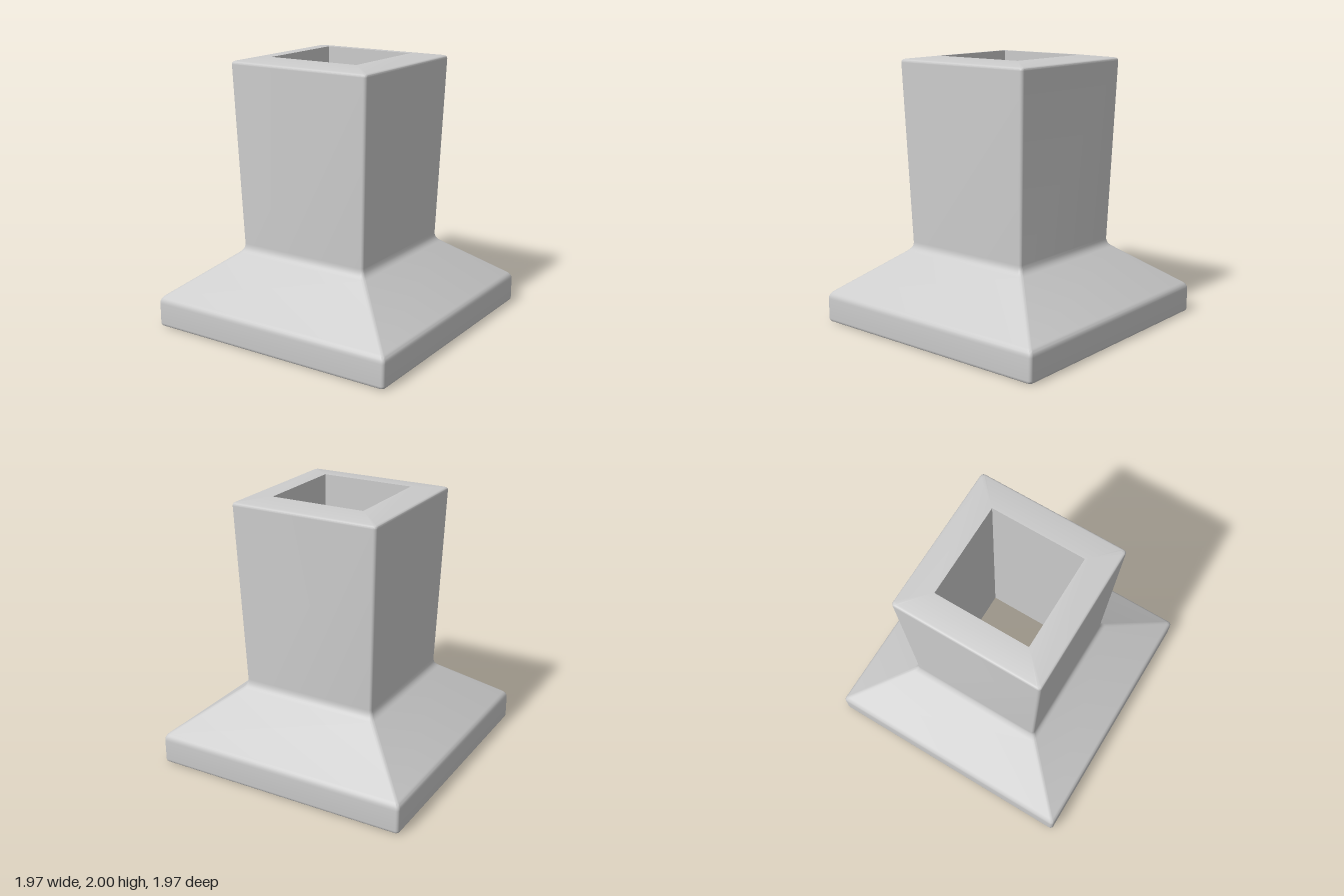
import * as THREE from 'three';
import { toCreasedNormals } from 'three/addons/utils/BufferGeometryUtils.js';

const ARC = 6; // segments per rounded corner

// Rounds each corner of a closed profile; points are [half width, height, fillet, plan corner radius]
function filletProfile(points) {
  const out = [];
  points.forEach(([x, y, fillet, corner], i) => {
    const p = new THREE.Vector2(x, y);
    if (!fillet) {
      out.push([x, y, corner]);
      return;
    }
    const prev = points.at(i - 1), next = points[(i + 1) % points.length];
    const toward = (q) => new THREE.Vector2(q[0], q[1]).sub(p).setLength(fillet).add(p);
    const curve = new THREE.QuadraticBezierCurve(toward(prev), p, toward(next));
    for (const q of curve.getPoints(ARC)) out.push([q.x, q.y, corner]);
  });
  return out;
}

// Square ring with rounded corners, counter-clockwise seen from above
function squareRing([half, y, r]) {
  const ring = [];
  for (let c = 0; c < 4; c++) {
    const mid = Math.PI / 4 + c * Math.PI / 2;
    const cx = Math.sign(Math.cos(mid)) * (half - r);
    const cz = Math.sign(Math.sin(mid)) * (half - r);
    for (let k = 0; k <= ARC; k++) {
      const a = (c + k / ARC) * Math.PI / 2;
      ring.push(cx + r * Math.cos(a), y, -(cz + r * Math.sin(a)));
    }
  }
  return ring;
}

// Sweeps a closed profile around a square plan
function squareLathe(points) {
  const profile = filletProfile(points);
  const n = 4 * (ARC + 1), m = profile.length;
  const index = [];
  for (let i = 0; i < m; i++) {
    for (let j = 0; j < n; j++) {
      const j2 = (j + 1) % n, i2 = (i + 1) % m;
      const a = i * n + j, b = i * n + j2, c = i2 * n + j2, d = i2 * n + j;
      index.push(a, b, c, a, c, d);
    }
  }
  const geo = new THREE.BufferGeometry();
  geo.setAttribute('position', new THREE.Float32BufferAttribute(profile.flatMap(squareRing), 3));
  geo.setIndex(index);
  return toCreasedNormals(geo, 0.45);
}

export function createModel() {
  const group = new THREE.Group();
  group.name = 'squareFlueHood';

  const geometry = squareLathe([
    // underside and rim of the flared base
    [0.845, 0, 0, 0],
    [0.985, 0, 0.025, 0.025],
    [0.985, 0.215, 0.035, 0.025],
    // neck and flaring shaft
    [0.525, 0.565, 0.045, 0.025],
    [0.573, 1.977, 0.022, 0.025],
    // gently raised top lip
    [0.38, 2, 0, 0],
    [0.362, 2, 0, 0],
    // straight flue, opening into the hollow base
    [0.362, 0.36, 0, 0],
    [0.845, 0.12, 0, 0],
  ]);
  const hood = new THREE.Mesh(geometry, new THREE.MeshStandardMaterial({ color: 0xcccccc }));
  hood.name = 'hoodAndShaft';
  group.add(hood);
  return group;
}
